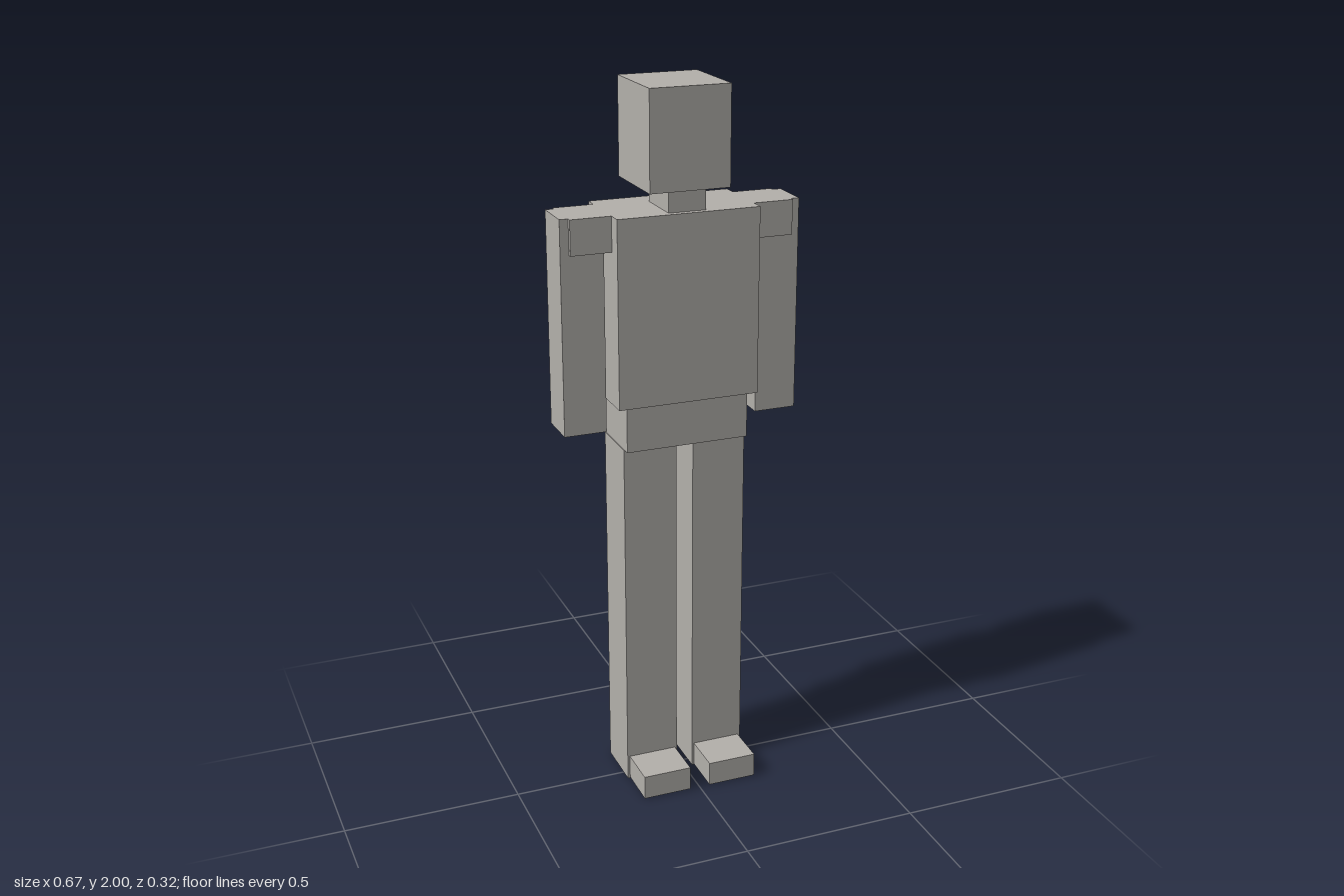
import * as THREE from 'three';

export function createModel() {
  const model = new THREE.Group();
  model.name = 'blockFigure';
  const stone = new THREE.MeshStandardMaterial({ color: 0xb4b1ac });
  stone.name = 'warm grey';

  // Box given by its lower and upper limits on each axis
  function block(name, [x0, x1], [y0, y1], [z0, z1]) {
    const mesh = new THREE.Mesh(new THREE.BoxGeometry(x1 - x0, y1 - y0, z1 - z0), stone);
    mesh.name = name;
    mesh.position.set((x0 + x1) / 2, (y0 + y1) / 2, (z0 + z1) / 2);
    model.add(mesh);
  }

  // Same box on both sides of the body
  function pair(name, [x0, x1], y, z) {
    block('left' + name, [x0, x1], y, z);
    block('right' + name, [-x1, -x0], y, z);
  }

  // Head and trunk
  block('head', [-0.112, 0.112], [1.732, 2], [-0.16, 0.075]);
  block('neck', [-0.052, 0.052], [1.673, 1.732], [-0.092, 0.053]);
  block('torso', [-0.2, 0.2], [1.155, 1.673], [-0.155, 0.07]);
  block('pelvis', [-0.175, 0.175], [1.027, 1.155], [-0.14, 0.058]);

  // Limbs
  pair('Shoulder', [0.2, 0.313], [1.577, 1.673], [-0.115, 0.028]);
  pair('Arm', [0.218, 0.337], [1.08, 1.673], [-0.103, 0.016]);
  pair('Leg', [0.024, 0.177], [0, 1.027], [-0.118, 0.036]);
  pair('Foot', [0.03, 0.17], [0.002, 0.072], [0, 0.158]);

  return model;
}
